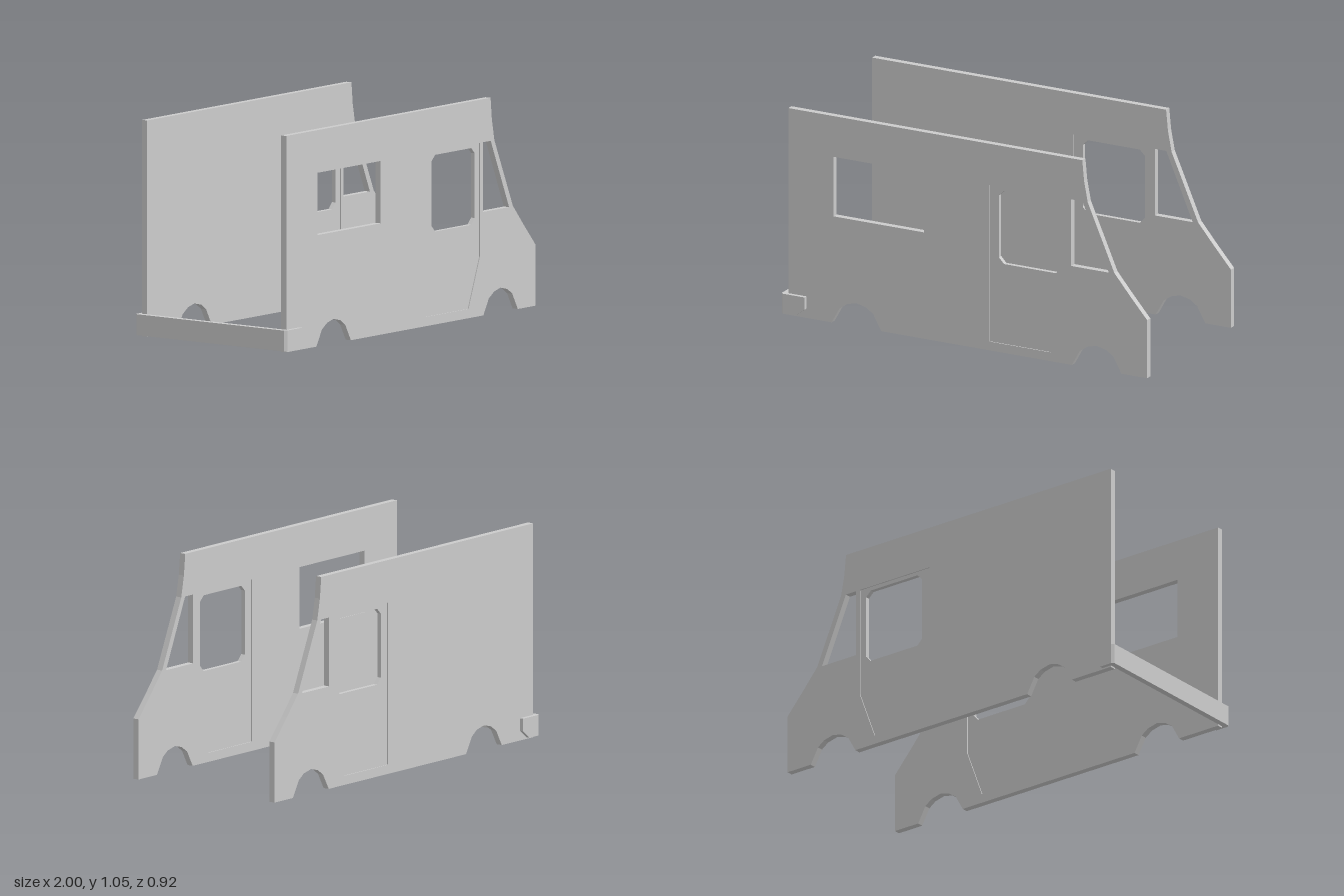
import * as THREE from 'three';

const material = new THREE.MeshStandardMaterial({ color: 0xcccccc, flatShading: true });
const points = (list) => list.map(([x, y]) => new THREE.Vector2(x, y));

// Extrudes an outline with holes along z, centred on z = 0
function slab(name, outline, holes, depth) {
  const shape = new THREE.Shape(points(outline));
  holes.forEach((hole) => shape.holes.push(new THREE.Path(points(hole))));
  const geometry = new THREE.ExtrudeGeometry(shape, { depth, bevelEnabled: false });
  geometry.translate(0, 0, -depth / 2);
  const mesh = new THREE.Mesh(geometry, material);
  mesh.name = name;
  return mesh;
}

// Faceted wheel cut-out, listed from front to rear
const arch = (cx) => [
  [0.137, 0], [0.093, 0.08], [0.055, 0.107], [0, 0.12],
  [-0.05, 0.107], [-0.092, 0.078], [-0.135, 0],
].map(([x, y]) => [cx + x, y]);

const sideOutline = [
  [-0.97, 0], [-0.97, 1.055], [0.644, 1.055], [0.654, 0.95], [0.674, 0.845],
  [0.82, 0.508], [0.906, 0.405], [1, 0.297], [1, 0],
  ...arch(0.722), ...arch(-0.597),
];
const doorOutline = [
  [0.135, 0.045], [0.47, 0.045], [0.56, 0.29], [0.56, 0.845], [0.135, 0.845],
];
const doorWindow = [
  [0.212, 0.452], [0.497, 0.452], [0.525, 0.482], [0.525, 0.798],
  [0.497, 0.826], [0.212, 0.826], [0.184, 0.798], [0.184, 0.482],
];
const quarterWindow = [[0.583, 0.505], [0.79, 0.505], [0.645, 0.845], [0.583, 0.845]];
const rearWindow = [[-0.722, 0.543], [-0.225, 0.543], [-0.225, 0.847], [-0.722, 0.847]];

const wingOutline = [
  [-0.97, 0.008], [-0.92, 0.008], [-0.87, 0.048], [-0.87, 0.11], [-0.97, 0.11],
];
const bumperPlan = [
  [-1, -0.45], [-0.988, -0.46], [-0.97, -0.46],
  [-0.97, 0.46], [-0.988, 0.46], [-1, 0.45],
];

export function createModel() {
  const model = new THREE.Group();
  model.name = 'vanBody';

  for (const side of [1, -1]) {
    const label = side > 0 ? 'front' : 'back';

    // Side wall; only one wall has the large rear window
    const holes = [doorOutline, quarterWindow];
    if (side > 0) holes.push(rearWindow);
    const wall = slab(label + 'SideWall', sideOutline, holes, 0.032);
    wall.position.z = side * 0.424;

    // Door, slightly recessed on both faces
    const door = slab(label + 'Door', doorOutline, [doorWindow], 0.022);
    door.position.z = side * 0.424;

    // Bumper end wrapping round the wall
    const wing = slab(label + 'BumperEnd', wingOutline, [], 0.02);
    wing.position.z = side * 0.45;
    model.add(wall, door, wing);
  }

  // Bumper bar joining the two walls at the rear
  const bumper = slab('rearBumper', bumperPlan, [], 0.102);
  bumper.rotation.x = -Math.PI / 2;
  bumper.position.y = 0.059;
  model.add(bumper);

  return model;
}
